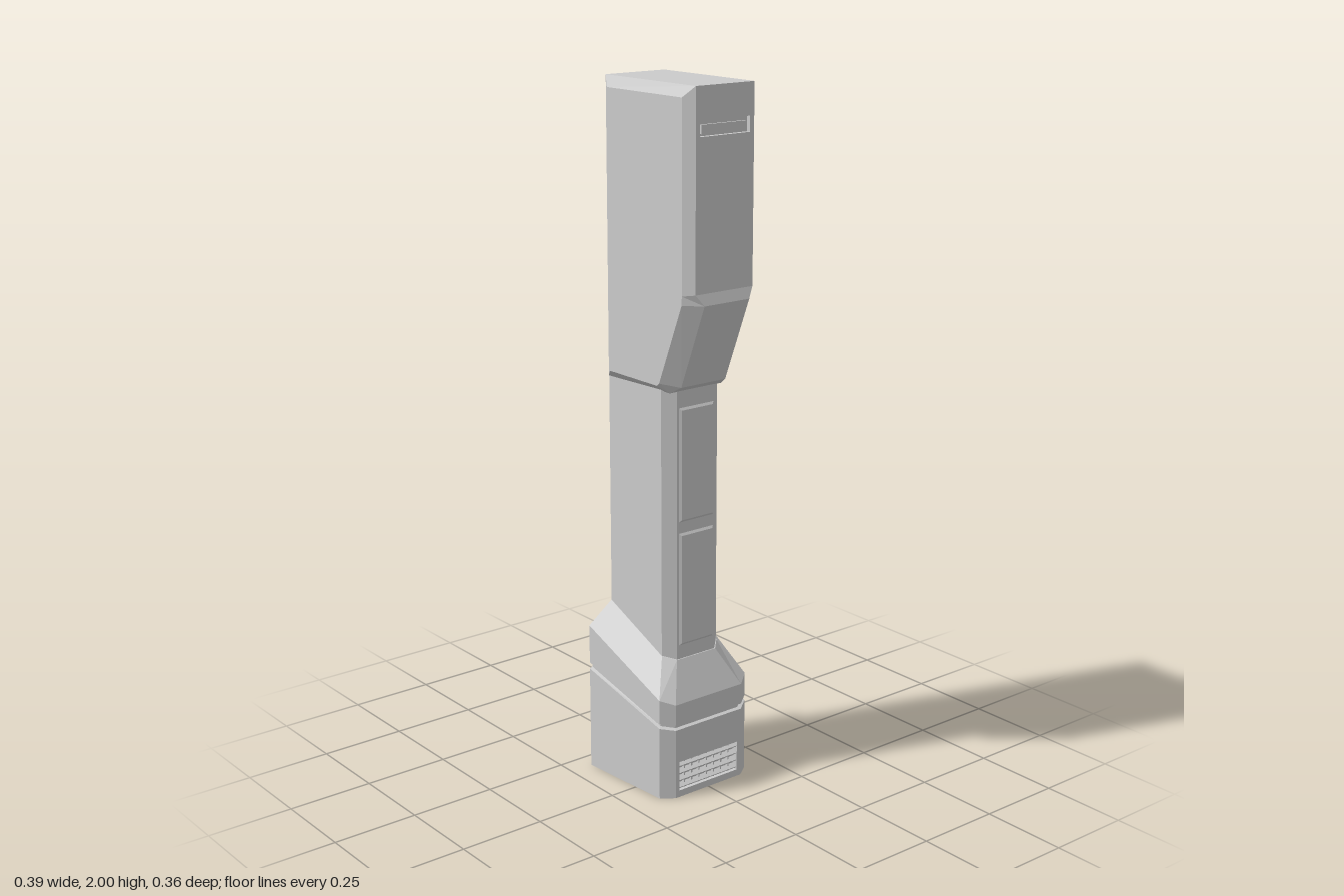
import * as THREE from 'three';

const material = new THREE.MeshStandardMaterial({ color: 0xcccccc, flatShading: true });
const BACK = -0.195;

function addMesh(parent, name, geometry) {
  const mesh = new THREE.Mesh(geometry, material);
  mesh.name = name;
  parent.add(mesh);
  return mesh;
}

// Flat-shaded skin through loops of [x, y, z] corners; skip(loop, edge) leaves a quad open.
function loft(loops, skip = () => false) {
  const pos = [];
  const tri = (a, b, c) => pos.push(...a, ...b, ...c);
  const n = loops[0].length;
  for (let k = 0; k < loops.length - 1; k++) {
    for (let i = 0; i < n; i++) {
      if (skip(k, i)) continue;
      const j = (i + 1) % n, a = loops[k], b = loops[k + 1];
      tri(a[i], a[j], b[j]);
      tri(a[i], b[j], b[i]);
    }
  }
  const first = loops[0], last = loops[loops.length - 1];
  for (let i = 1; i < n - 1; i++) {
    tri(first[0], first[i + 1], first[i]);
    tri(last[0], last[i], last[i + 1]);
  }
  const g = new THREE.BufferGeometry();
  g.setAttribute('position', new THREE.Float32BufferAttribute(pos, 3));
  g.computeVertexNormals();
  return g;
}

function rect(path, hz, y0, y1) {
  path.moveTo(-hz, y0);
  path.lineTo(hz, y0);
  path.lineTo(hz, y1);
  path.lineTo(-hz, y1);
  path.closePath();
  return path;
}

// Wall facing +x with a rectangular pocket sunk into it
function pocketWall(parent, name, x, depth, outer, hole) {
  const shape = rect(new THREE.Shape(), ...outer);
  shape.holes.push(rect(new THREE.Path(), ...hole));
  const wall = new THREE.ExtrudeGeometry(shape, { depth, bevelEnabled: false });
  wall.rotateY(Math.PI / 2).translate(x - depth, 0, 0);
  addMesh(parent, name, wall);
  const [hz, y0, y1] = hole;
  const floor = new THREE.BoxGeometry(0.004, y1 - y0 + 0.004, hz * 2 + 0.004);
  floor.translate(x - depth, (y0 + y1) / 2, 0);
  addMesh(parent, name + 'Recess', floor);
}

function createHead() {
  const head = new THREE.Group();
  head.name = 'head';
  // Each row: rim x, y, half width, then the matching corner of the side face x, y
  const outline = [
    [BACK, 2, 0.1, -0.165, 1.97],
    [BACK, 1.17, 0.1, -0.165, 1.192],
    [0.065, 1.17, 0.09, 0.045, 1.192],
    [0.098, 1.19, 0.077, 0.055, 1.2],
    [0.195, 1.43, 0.077, 0.151, 1.43],
    [0.183, 1.46, 0.098, 0.152, 1.455],
    [0.183, 2, 0.098, 0.152, 1.97],
  ];
  const side = (s) => outline.map(([, , , x, y]) => [x, y, 0.119 * s]);
  const rim = (s) => outline.map(([x, y, h]) => [x, y, h * s]);
  addMesh(head, 'headShell', loft([side(-1), rim(-1), rim(1), side(1)], (k, i) => k === 1 && i === 5));
  pocketWall(head, 'headSlot', 0.183, 0.015, [0.098, 1.46, 2], [0.084, 1.87, 1.912]);
  const bar = new THREE.BoxGeometry(0.01, 0.024, 0.15);
  bar.translate(0.172, 1.888, 0);
  addMesh(head, 'slotBar', bar);
  return head;
}

function createShaft() {
  const shaft = new THREE.Group();
  shaft.name = 'shaft';
  const section = (y) => [
    [0.068, y, 0.068], [0.068, y, -0.068], [0.038, y, -0.099],
    [BACK, y, -0.099], [BACK, y, 0.099], [0.038, y, 0.099],
  ];
  addMesh(shaft, 'shaftBody', loft([section(0.36), section(1.18)]));
  // Two slightly raised front plates with sloped edges
  const plate = (x, y0, y1, hz) => [[x, y0, -hz], [x, y1, -hz], [x, y1, hz], [x, y0, hz]];
  for (const [y0, y1] of [[0.43, 0.765], [0.795, 1.125]]) {
    addMesh(shaft, 'frontPlate', loft([plate(0.067, y0, y1, 0.062), plate(0.073, y0 + 0.008, y1 - 0.008, 0.055)]));
  }
  return shaft;
}

function createBase() {
  const base = new THREE.Group();
  base.name = 'base';
  // Half sections: front, corner and back points, mirrored across z
  const section = (f, c, b) => {
    const flip = ([x, y, z]) => [x, y, -z];
    return [f, flip(f), flip(c), flip(b), b, c];
  };
  const outer = (yf, yc, yb) => section([0.127, yf, 0.12], [0.1, yc, 0.157], [BACK, yb, 0.18]);
  const inner = (yf, yc, yb) => section([0.118, yf, 0.114], [0.093, yc, 0.148], [BACK, yb, 0.171]);
  const loops = [
    outer(0, 0, 0),
    outer(0.208, 0.215, 0.306),
    inner(0.212, 0.219, 0.31), // slanted groove
    inner(0.22, 0.227, 0.322),
    outer(0.224, 0.231, 0.326),
    outer(0.285, 0.3, 0.44), // shoulder
    section([0.07, 0.39, 0.07], [0.04, 0.4, 0.1], [BACK, 0.5, 0.1]),
  ];
  addMesh(base, 'baseShell', loft(loops, (k, i) => k === 0 && i === 0));
  pocketWall(base, 'vent', 0.127, 0.02, [0.12, 0, 0.208], [0.106, 0.02, 0.108]);
  // Vent slats and uprights
  for (let i = 0; i < 4; i++) {
    const slat = new THREE.BoxGeometry(0.016, 0.005, 0.212);
    slat.rotateZ(-0.6).translate(0.117, 0.031 + i * 0.022, 0);
    addMesh(base, 'ventSlat', slat);
  }
  for (let i = -3; i <= 3; i++) {
    const upright = new THREE.BoxGeometry(0.01, 0.088, 0.004);
    upright.translate(0.112, 0.064, i * 0.027);
    addMesh(base, 'ventUpright', upright);
  }
  return base;
}

export function createModel() {
  const model = new THREE.Group();
  model.name = 'column';
  model.add(createHead(), createShaft(), createBase());
  return model;
}
